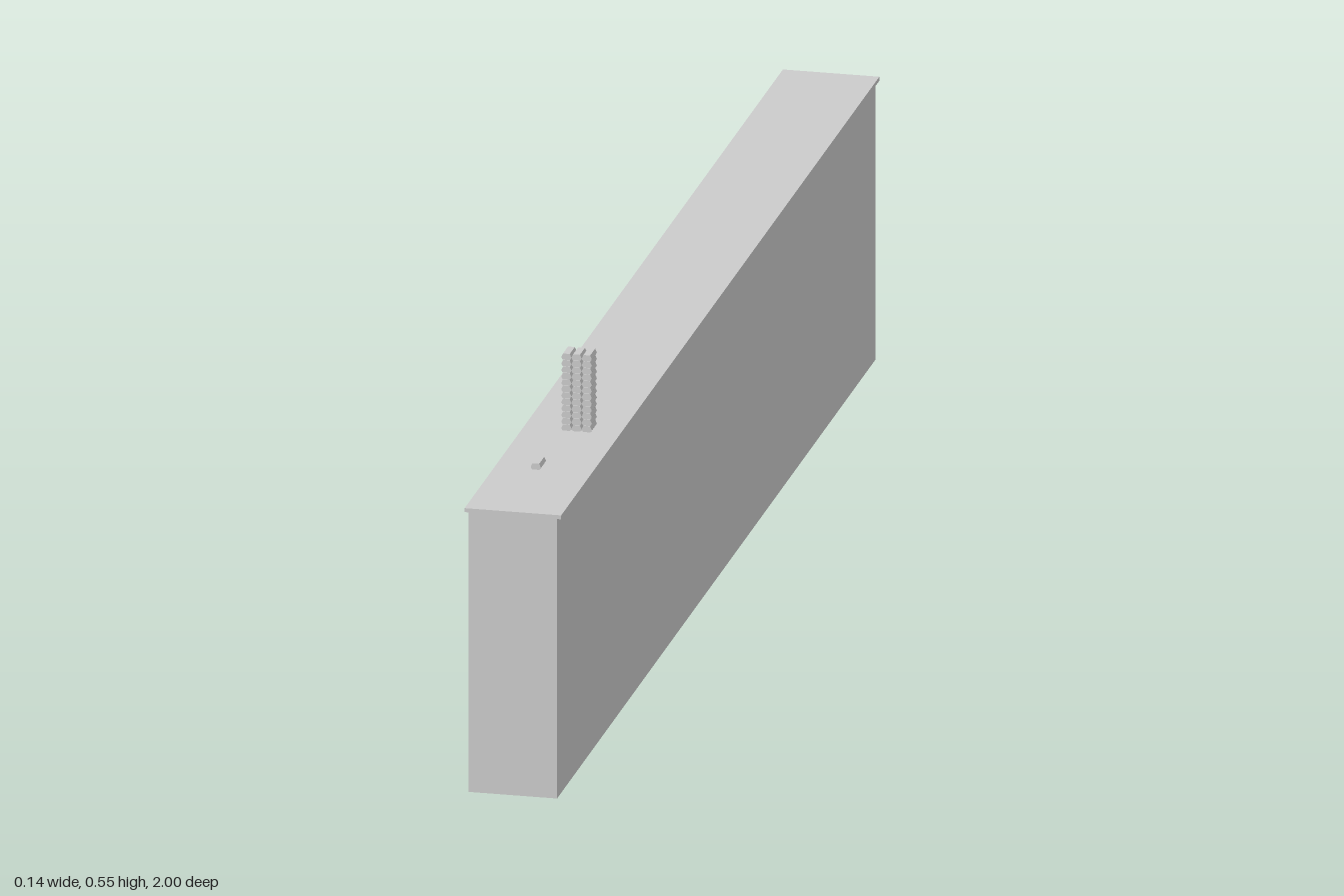
import * as THREE from 'three';

export function createModel() {
  const model = new THREE.Group();
  const material = new THREE.MeshStandardMaterial({ color: 0xcccccc, flatShading: true });

  function add(name, geometry, x, y, z, parent = model) {
    const mesh = new THREE.Mesh(geometry, material);
    mesh.name = name;
    mesh.position.set(x, y, z);
    parent.add(mesh);
  }

  // Long counter with a thin overhanging top
  const topY = 0.429, lip = 0.006;
  add('counterBody', new THREE.BoxGeometry(0.13, topY - lip, 2), 0, (topY - lip) / 2, 0);
  add('counterTop', new THREE.BoxGeometry(0.142, lip, 2), 0, topY - lip / 2, 0);

  // Small bar: bevelled section, narrower at the top, run along z
  const pitch = 0.00975, length = 0.032;
  const section = new THREE.Shape([
    [-0.0055, 0], [0.0055, 0], [0.0075, 0.0035],
    [0.005, 0.0092], [-0.005, 0.0092], [-0.0075, 0.0035],
  ].map(([x, y]) => new THREE.Vector2(x, y)));
  const bar = new THREE.ExtrudeGeometry(section, { depth: length, bevelEnabled: false });
  bar.translate(0, 0, -length / 2);

  // Three columns of stacked bars
  const stack = new THREE.Group();
  stack.name = 'barStack';
  model.add(stack);
  for (let column = 0; column < 3; column++) {
    for (let layer = 0; layer < 12; layer++) {
      add('stackedBar', bar, -0.0075 + column * 0.015, topY + layer * pitch, 0.616, stack);
    }
  }

  // Single bar hovering near the front end
  add('looseBar', bar, 0, 0.445, 0.84);

  return model;
}
